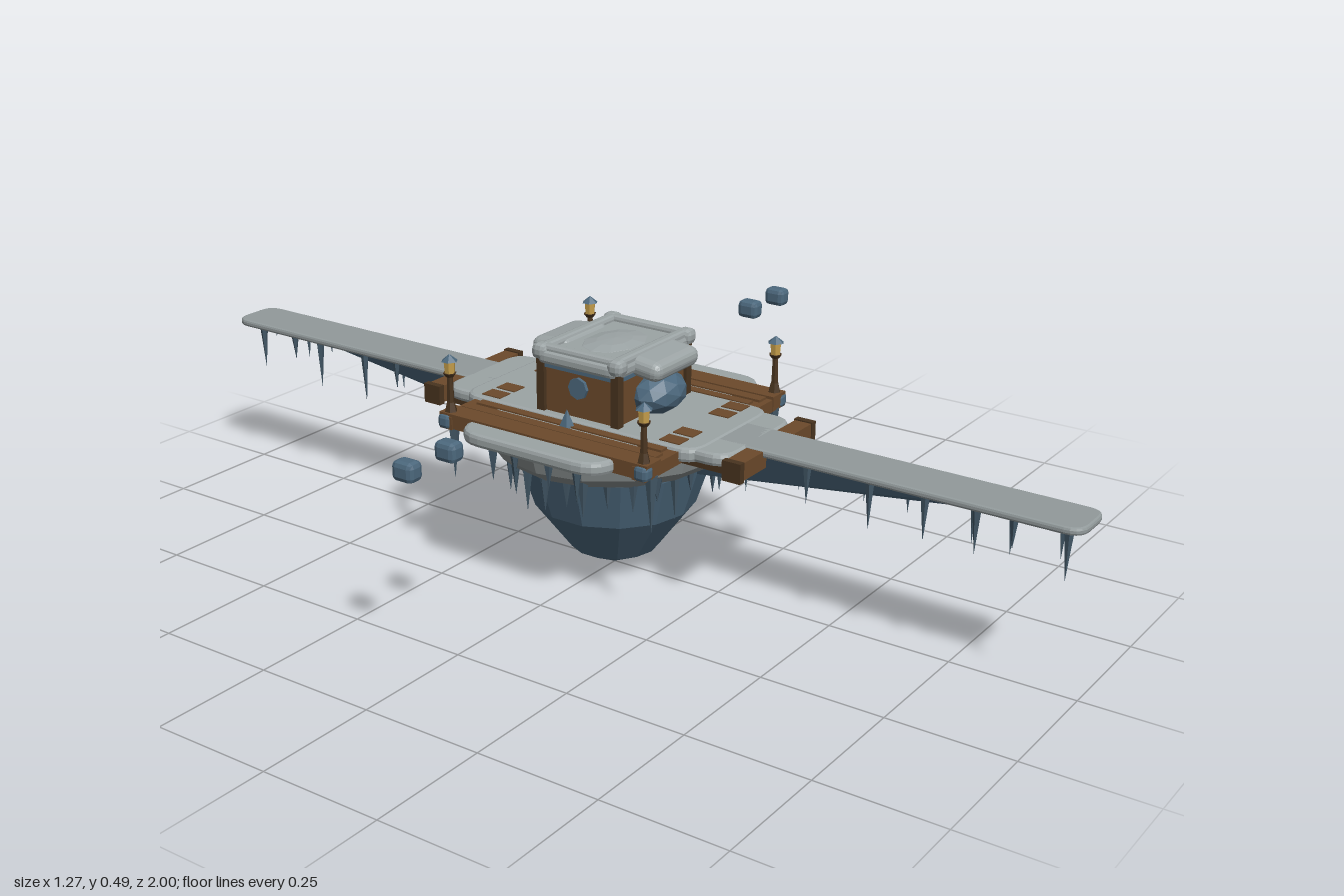
import * as THREE from 'three';
import { ConvexGeometry } from 'three/addons/geometries/ConvexGeometry.js';
import { RoundedBoxGeometry } from 'three/addons/geometries/RoundedBoxGeometry.js';

const mat = (name, color, flatShading = true) => {
  const m = new THREE.MeshStandardMaterial({ color, flatShading });
  m.name = name;
  return m;
};

export function createModel() {
  const snow = mat('snow', 0x9ca4a5);
  const wingSnow = mat('wing snow', 0x929a9b);
  const stone = mat('frosted stone', 0x8a9090);
  const ice = mat('ice', 0x4c687d);
  const icicleBlue = mat('icicle ice', 0x435867);
  const wood = mat('wood', 0x6c4a2b);
  const darkWood = mat('dark wood', 0x49341f);
  const glow = mat('lantern glow', 0xc8a04c);

  const model = new THREE.Group();
  model.name = 'floatingIceShip';
  const add = (name, geo, m, x = 0, y = 0, z = 0) => {
    const mesh = new THREE.Mesh(geo, m);
    mesh.name = name;
    mesh.position.set(x, y, z);
    model.add(mesh);
    return mesh;
  };
  const box = (name, m, w, h, d, x, y, z) => add(name, new THREE.BoxGeometry(w, h, d), m, x, y, z);
  const mirror = [-1, 1];
  let seed = 7;
  const rand = () => (seed = (seed * 16807) % 2147483647) / 2147483647;

  // Flat slab with rounded plan corners and softened edges
  const slab = (name, m, w, d, y0, y1, r, x = 0, z = 0) => {
    const b = Math.min(0.008, (y1 - y0) / 3);
    const a = w / 2 - b, c = d / 2 - b;
    const s = new THREE.Shape();
    s.moveTo(-a + r, -c).lineTo(a - r, -c).quadraticCurveTo(a, -c, a, -c + r);
    s.lineTo(a, c - r).quadraticCurveTo(a, c, a - r, c);
    s.lineTo(-a + r, c).quadraticCurveTo(-a, c, -a, c - r);
    s.lineTo(-a, -c + r).quadraticCurveTo(-a, -c, -a + r, -c);
    const g = new THREE.ExtrudeGeometry(s, {
      depth: y1 - y0 - 2 * b, bevelThickness: b, bevelSize: b, bevelSegments: 2, curveSegments: 5,
    });
    g.rotateX(-Math.PI / 2);
    return add(name, g, m, x, y0 + b, z);
  };

  const icicle = (x, y, z, len, r = 0.011) => {
    const g = new THREE.ConeGeometry(r, len, 5);
    g.rotateX(Math.PI);
    add('icicle', g, icicleBlue, x, y - len / 2, z).rotation.y = rand() * 6;
  };

  const lathe = (pts, n) => new THREE.LatheGeometry(pts.map(p => new THREE.Vector2(...p)), n);

  // Faceted ice keel and the frosted rim above it
  add('hull', lathe([[0.0001, 0.005], [0.09, 0.05], [0.165, 0.15], [0.198, 0.25], [0.2, 0.3]], 14), ice);
  add('rim', lathe([[0.19, 0.255], [0.23, 0.262], [0.257, 0.285], [0.266, 0.315], [0.25, 0.328], [0.0001, 0.328]], 16), stone)
    .scale.z = 0.95;

  // Icicles around the rim
  for (let i = 0; i < 30; i++) {
    const a = (i + 0.3 * rand()) / 30 * Math.PI * 2;
    const r = 0.205 + 0.035 * rand();
    icicle(Math.cos(a) * r, 0.28, Math.sin(a) * r * 0.95, 0.05 + 0.06 * rand(), 0.012);
  }

  // Deck slabs
  slab('sideSnow', snow, 0.59, 0.345, 0.322, 0.349, 0.055);
  slab('centreSnow', snow, 0.28, 0.56, 0.325, 0.354, 0.04);
  slab('deckEndSnow', snow, 0.25, 0.68, 0.326, 0.352, 0.04);

  for (const s of mirror) {
    // Long deck planks
    box('outerPlank', wood, 0.046, 0.03, 0.49, s * 0.222, 0.338, 0);
    box('middlePlank', wood, 0.024, 0.03, 0.46, s * 0.183, 0.337, 0);
    box('innerPlank', wood, 0.02, 0.03, 0.44, s * 0.152, 0.337, 0);
    box('plankGap', darkWood, 0.09, 0.02, 0.44, s * 0.18, 0.336, 0);
    const spike = add('iceSpike', new THREE.ConeGeometry(0.016, 0.035, 5), ice, s * 0.158, 0.367, 0);
    spike.rotation.y = s;

    for (const t of mirror) {
      // Crossbeams, bare deck patches and landing blocks
      box('crossBeam', wood, 0.12, 0.026, 0.03, s * 0.187, 0.334, t * 0.228);
      for (const x of [0.062, 0.108])
        box('barePlank', wood, 0.034, 0.006, 0.045, s * x, 0.353, t * 0.213);
      box('landingBlock', wood, 0.09, 0.035, 0.036, s * 0.087, 0.332, t * 0.357);
      box('landingCap', darkWood, 0.014, 0.04, 0.04, s * 0.13, 0.332, t * 0.357);
      box('landingBrace', darkWood, 0.02, 0.02, 0.12, s * 0.1, 0.322, t * 0.29);
      add('cornerFrost', new RoundedBoxGeometry(0.028, 0.03, 0.03, 1, 0.008), ice, s * 0.237, 0.335, t * 0.232);

      // Lantern post
      const x = s * 0.23, z = t * 0.228;
      add('lanternBase', new THREE.CylinderGeometry(0.008, 0.013, 0.02, 6), darkWood, x, 0.362, z);
      add('lanternPost', new THREE.CylinderGeometry(0.006, 0.008, 0.08, 6), darkWood, x, 0.388, z);
      add('lanternTray', new THREE.CylinderGeometry(0.014, 0.008, 0.008, 6), darkWood, x, 0.428, z);
      add('lanternLight', new THREE.CylinderGeometry(0.012, 0.01, 0.026, 6), glow, x, 0.443, z);
      add('lanternCap', new THREE.ConeGeometry(0.017, 0.014, 6), ice, x, 0.463, z);
      icicle(s * 0.262, 0.328, t * 0.1, 0.08, 0.012);
      icicle(s * 0.27, 0.328, t * 0.04, 0.06);
      icicle(s * 0.215, 0.325, t * 0.235, 0.12, 0.013);
    }

    // Floating ice chunks beside the ship
    for (const x of [0.505, 0.617])
      add('floatingIce', new RoundedBoxGeometry(0.036, 0.038, 0.046, 1, 0.01), ice, s * x, 0.413, 0);
  }

  // Long wings with a tapering ice wedge below
  slab('wing', wingSnow, 0.11, 2, 0.337, 0.352, 0.03);
  const wingIcicles = [0.97, 0.93, 0.87, 0.835, 0.8, 0.76, 0.7, 0.63, 0.59, 0.54, 0.46, 0.4, 0.33, 0.27];
  for (const t of mirror) {
    add('wingKeel', new ConvexGeometry([
      [-0.045, 0.339, 0.15], [0.045, 0.339, 0.15], [0, 0.238, 0.15],
      [-0.012, 0.339, 0.84], [0.012, 0.339, 0.84], [0, 0.328, 0.84],
    ].map(([x, y, z]) => new THREE.Vector3(x, y, z * t))), ice);
    wingIcicles.forEach((z, i) =>
      icicle((i % 2 ? 1 : -1) * t * 0.038, 0.341, t * z, 0.05 + 0.065 * rand(), 0.009));
  }

  // Cabin walls, posts and trim
  box('cabin', wood, 0.236, 0.115, 0.18, 0, 0.405, 0);
  for (const s of mirror) {
    for (const t of mirror) {
      box('cabinPost', darkWood, 0.018, 0.118, 0.018, s * 0.117, 0.405, t * 0.088);
      add('roofKnob', new RoundedBoxGeometry(0.034, 0.032, 0.034, 1, 0.011), snow, s * 0.117, 0.474, t * 0.089);
    }
    box('sideTrim', ice, 0.006, 0.008, 0.18, s * 0.12, 0.448, 0);
    box('endTrim', ice, 0.24, 0.008, 0.006, 0, 0.448, s * 0.092);
    const port = add('sidePorthole', new THREE.CylinderGeometry(0.022, 0.022, 0.008, 8), ice, s * 0.121, 0.415, 0);
    port.rotation.z = Math.PI / 2;

    // Ice bulge with a snow drift over it at each end
    const bulge = add('iceBulge', new THREE.IcosahedronGeometry(1, 1), ice, 0, 0.396, s * 0.105);
    bulge.scale.set(0.068, 0.042, 0.05);
    const drift = add('snowDrift', new RoundedBoxGeometry(0.15, 0.04, 0.09, 2, 0.018), snow, 0, 0.462, s * 0.108);
    drift.rotation.x = s * 0.12;

    // Raised roof frame
    add('roofSideBeam', new RoundedBoxGeometry(0.024, 0.024, 0.18, 1, 0.007), snow, s * 0.112, 0.477, 0);
    add('roofEndBeam', new RoundedBoxGeometry(0.23, 0.024, 0.024, 1, 0.007), snow, 0, 0.477, s * 0.085);
  }
  slab('roof', snow, 0.266, 0.2, 0.452, 0.478, 0.02);
  const mound = add('roofMound', new THREE.SphereGeometry(1, 10, 6), snow, 0, 0.472, 0);
  mound.scale.set(0.09, 0.013, 0.065);

  return model;
}
